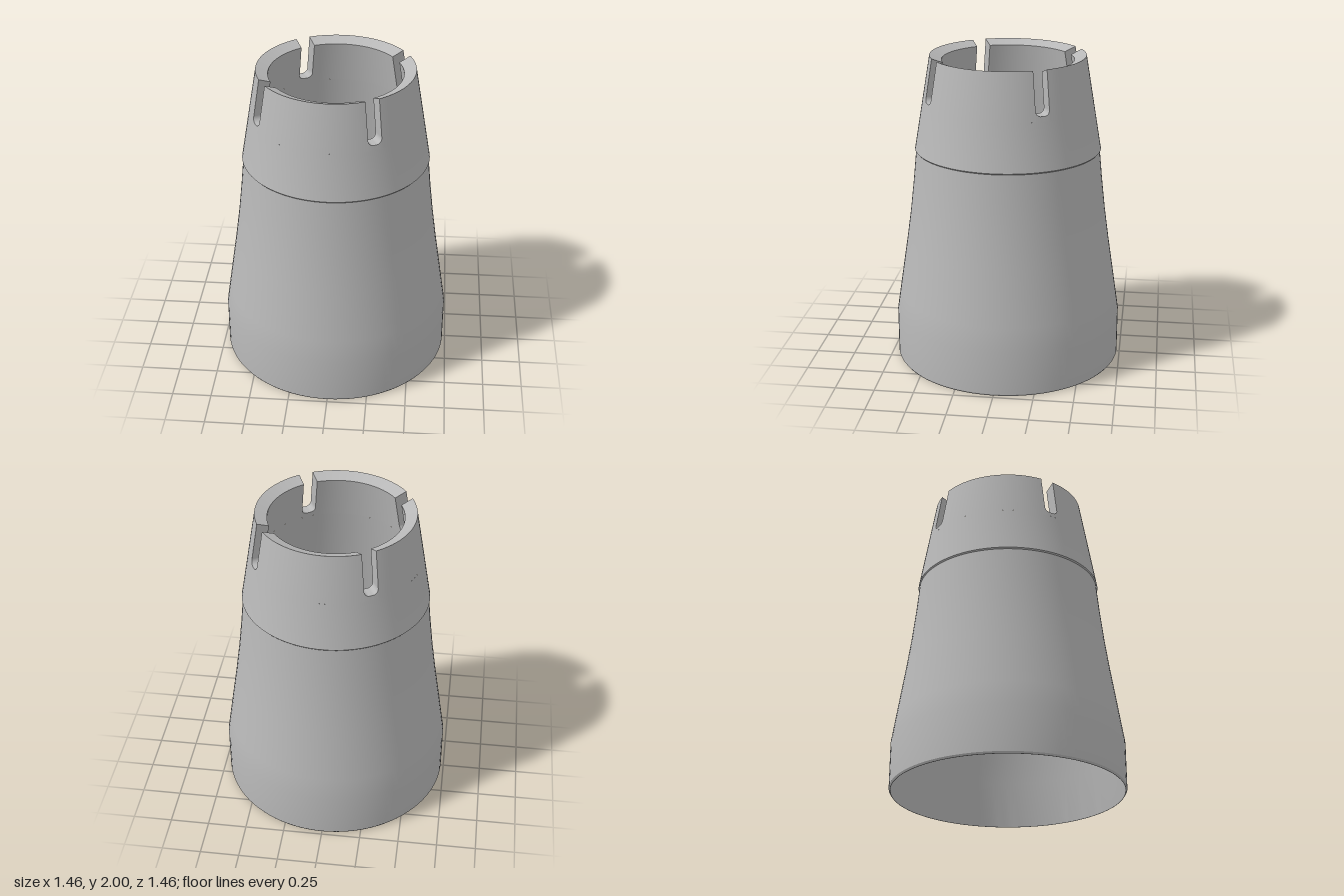
import * as THREE from 'three';
import { toCreasedNormals } from 'three/addons/utils/BufferGeometryUtils.js';

const SEAM = 1.7;          // height where the slotted rim starts
const HALF = 0.045;        // half width of a slot
const FLOOR = 1.73;        // lowest point of a slot
const CORNER = 0.033;      // rounding of the slot floor
const outerR = (y) => 0.49 + 0.17 * (2 - y);
const innerR = (y) => 0.415 + 0.17 * (1.97 - y);

// Skin a row of cross-sections (each a list of [x, y, z]); optionally cap both ends
function skin(columns, capped) {
  const rows = columns[0].length;
  const index = [];
  for (let i = 0; i < columns.length - 1; i++) {
    for (let j = 0; j < rows - 1; j++) {
      const a = i * rows + j, b = a + rows;
      index.push(a, b, b + 1, a, b + 1, a + 1);
    }
  }
  if (capped) {
    const e = (columns.length - 1) * rows;
    index.push(0, 1, 2, 0, 2, 3, e, e + 2, e + 1, e, e + 3, e + 2);
  }
  const geometry = new THREE.BufferGeometry();
  geometry.setAttribute('position', new THREE.Float32BufferAttribute(columns.flat(2), 3));
  geometry.setIndex(index);
  return toCreasedNormals(geometry, 0.45);
}

const polar = (r, y, angle) => [r * Math.sin(angle), y, r * Math.cos(angle)];

// Wall panel between two parallel-sided slots
function panelGeometry() {
  const profile = [[outerR(SEAM), SEAM], [outerR(2), 2], [innerR(1.97), 1.97], [innerR(SEAM), SEAM]];
  const columns = [];
  for (let i = 0; i <= 24; i++) {
    columns.push(profile.map(([r, y]) => {
      const edge = Math.asin(HALF / r);
      return polar(r, y, edge + (Math.PI / 2 - 2 * edge) * i / 24);
    }));
  }
  return skin(columns, true);
}

// Wall left below a slot, with a round-cornered floor
function slotFloorGeometry() {
  const columns = [];
  for (let i = 0; i <= 16; i++) {
    const s = -HALF * Math.cos(Math.PI * i / 16);
    const d = Math.max(0, Math.abs(s) - (HALF - CORNER));
    const y = FLOOR + CORNER - Math.sqrt(Math.max(0, CORNER * CORNER - d * d));
    const profile = [[outerR(SEAM), SEAM], [outerR(y), y], [innerR(y), y], [innerR(SEAM), SEAM]];
    columns.push(profile.map(([r, h]) => polar(r, h, Math.asin(s / r))));
  }
  return skin(columns, false);
}

export function createModel() {
  const model = new THREE.Group();
  model.name = 'slottedSleeve';
  const grey = new THREE.MeshStandardMaterial({ color: 0xb8b8b8 });
  grey.name = 'grey';

  // Hollow body: down the inside, around the foot, up the outside
  const profile = [
    [innerR(SEAM), SEAM], [0.515, 1.4], [0.56, 1.1], [0.62, 0.75], [0.712, 0.3], [0.72, 0.01], [0.722, 0],
    [0.724, 0], [0.732, 0.012], [0.732, 0.3], [0.709, 0.45], [0.686, 0.6], [0.655, 0.8],
    [0.627, 1], [0.604, 1.2], [0.585, 1.395], [0.592, 1.403], [outerR(1.412), 1.412], [outerR(SEAM), SEAM],
  ].map(([r, y]) => new THREE.Vector2(r, y));
  const body = new THREE.Mesh(toCreasedNormals(new THREE.LatheGeometry(profile, 96), 0.45), grey);
  body.name = 'body';
  model.add(body);

  // Four rim panels and four slots, turned 30 degrees from the front
  const panel = panelGeometry();
  const slotFloor = slotFloorGeometry();
  for (let i = 0; i < 4; i++) {
    const quarter = new THREE.Group();
    quarter.name = `rimQuarter${i + 1}`;
    quarter.rotation.y = Math.PI / 6 + i * Math.PI / 2;
    const wall = new THREE.Mesh(panel, grey);
    wall.name = 'rimPanel';
    const floor = new THREE.Mesh(slotFloor, grey);
    floor.name = 'slotFloor';
    quarter.add(wall, floor);
    model.add(quarter);
  }
  return model;
}
